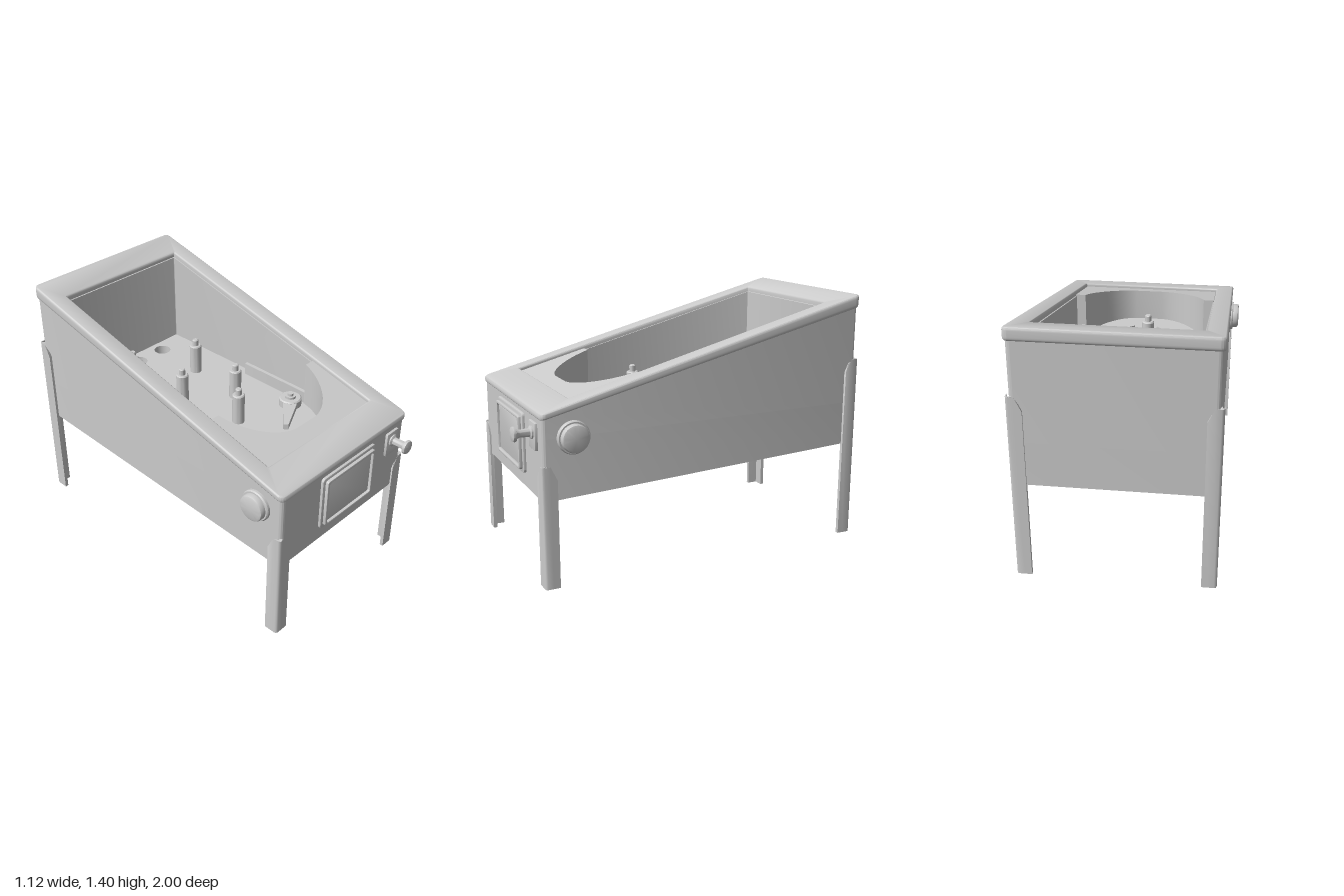
import * as THREE from 'three';
import { toCreasedNormals } from 'three/addons/utils/BufferGeometryUtils.js';

const material = new THREE.MeshStandardMaterial({ color: 0xcccccc });
const FLOOR = 0.79;

// Sloping planes of the cabinet, as heights along z
const topY = (x, z) => 0.92 + (0.885 - z) * 0.257;
const frameBottomY = (x, z) => 0.885 + (0.885 - z) * 0.238;
const bottomY = (x, z) => 0.465 + (0.88 - z) * 0.0455;
const level = (y) => () => y;

function add(parent, name, geometry, crease = 0.6) {
  const mesh = new THREE.Mesh(toCreasedNormals(geometry, crease), material);
  mesh.name = name;
  parent.add(mesh);
  return mesh;
}

// Rounded rectangle; also used for holes
function rect(x0, x1, y0, y1, r) {
  const s = new THREE.Shape();
  s.moveTo(x0 + r, y0);
  s.lineTo(x1 - r, y0);
  s.absarc(x1 - r, y0 + r, r, -Math.PI / 2, 0);
  s.lineTo(x1, y1 - r);
  s.absarc(x1 - r, y1 - r, r, 0, Math.PI / 2);
  s.lineTo(x0 + r, y1);
  s.absarc(x0 + r, y1 - r, r, Math.PI / 2, Math.PI);
  s.lineTo(x0, y0 + r);
  s.absarc(x0 + r, y0 + r, r, Math.PI, Math.PI * 1.5);
  return s;
}

// Rectangle in plan, given as x and z ranges (shape y is -z)
const plan = (x0, x1, z0, z1, r) => rect(x0, x1, -z1, -z0, r);

// Extrudes a plan shape between two height functions
function slab(shape, low, high, bevel = 0) {
  const t = bevel ? 0.28 : 0;
  const g = new THREE.ExtrudeGeometry(shape, {
    depth: 1 - 2 * t, curveSegments: 10, bevelEnabled: bevel > 0,
    bevelThickness: t, bevelSize: bevel, bevelOffset: -bevel, bevelSegments: 4,
  });
  g.translate(0, 0, t).rotateX(-Math.PI / 2);
  const p = g.attributes.position;
  for (let i = 0; i < p.count; i++) {
    const x = p.getX(i), z = p.getZ(i);
    p.setY(i, THREE.MathUtils.lerp(low(x, z), high(x, z), p.getY(i)));
  }
  return g;
}

// Upright plate facing +z with softened edges
function plate(shape, z0, z1, bevel = 0.005) {
  const g = new THREE.ExtrudeGeometry(shape, {
    depth: z1 - z0 - 2 * bevel, curveSegments: 6,
    bevelThickness: bevel, bevelSize: bevel, bevelOffset: -bevel, bevelSegments: 2,
  });
  return g.translate(0, 0, z0 + bevel);
}

const lathe = (points, sides = 32) =>
  new THREE.LatheGeometry(points.map(([r, y]) => new THREE.Vector2(r, y)), sides);

function addCabinet(model) {
  // Solid lower body with drain holes
  const base = plan(-0.505, 0.505, -0.99, 0.878, 0.025);
  for (const x of [-0.205, 0.01, 0.205]) {
    base.holes.push(new THREE.Path().absarc(x, 0.74, 0.05, 0, Math.PI * 2));
  }
  add(model, 'lowerBody', slab(base, bottomY, level(FLOOR)));

  // Walls, rising just inside the top frame
  const walls = plan(-0.505, 0.505, -0.99, 0.878, 0.025);
  walls.holes.push(plan(-0.405, 0.405, -0.822, 0.7, 0.004));
  add(model, 'walls', slab(walls, level(FLOOR), (x, z) => topY(x, z) - 0.03));

  const frame = plan(-0.517, 0.517, -1, 0.885, 0.032);
  frame.holes.push(plan(-0.413, 0.413, -0.828, 0.702, 0.003));
  add(model, 'topFrame', slab(frame, frameBottomY, topY, 0.01));
}

function addLegs(model) {
  const t = 0.02, w = 0.08, k = 0.045;
  // L section measured inward from the outer corner
  const section = [[0.014, 0], [k, 0], [w, 0], [w, t], [k, t], [t, t], [t, k], [t, w],
    [0, w], [0, k], [0, 0.014], [0.004, 0.004]];
  for (const [end, cornerZ, dir, height] of [['front', 0.887, 1, 0.65], ['back', -1, -1, 1.04]]) {
    for (const side of [1, -1]) {
      const shape = new THREE.Shape(section.map(([a, b]) =>
        new THREE.Vector2(side * (0.52 - a), -(cornerZ - dir * b))));
      const top = (x, z) => {
        const d = Math.max(0.52 - Math.abs(x), Math.abs(z - cornerZ));
        return height - Math.max(0, d - k) * 2.1;
      };
      add(model, end + (side > 0 ? 'LeftLeg' : 'RightLeg'), slab(shape, level(0), top), 0.9);
    }
  }
}

function addPlayfield(model) {
  // Apron with a curved cut-out, parallel to the frame
  const apron = new THREE.Shape();
  apron.moveTo(-0.41, -0.7);
  apron.lineTo(0.41, -0.7);
  apron.lineTo(0.41, -0.3);
  apron.lineTo(0.352, -0.3);
  apron.bezierCurveTo(0.33, -0.44, 0.21, -0.585, 0.08, -0.597);
  apron.lineTo(-0.08, -0.597);
  apron.bezierCurveTo(-0.21, -0.585, -0.33, -0.44, -0.352, -0.3);
  apron.lineTo(-0.41, -0.3);
  add(model, 'apron', slab(apron, level(FLOOR), (x, z) => topY(x, z) - 0.02));

  // Posts with a pin on top
  const post = [[0, 0], [0.035, 0], [0.035, 0.172], [0.03, 0.178], [0.018, 0.178],
    [0.018, 0.21], [0.014, 0.215], [0, 0.215]];
  for (const [x, z] of [[-0.18, -0.57], [0.178, -0.41], [-0.11, -0.225], [0.135, -0.04], [-0.04, 0.15]]) {
    add(model, 'post', lathe(post, 20)).position.set(x, FLOOR, z);
  }

  // Flippers: hub, pin and tapered bat
  const hub = [[0, 0], [0.065, 0], [0.065, 0.04], [0.058, 0.047], [0.032, 0.047],
    [0.032, 0.06], [0.018, 0.06], [0.018, 0.075], [0, 0.075]];
  for (const side of [1, -1]) {
    const flipper = new THREE.Group();
    flipper.name = side > 0 ? 'leftFlipper' : 'rightFlipper';
    add(flipper, 'hub', lathe(hub)).position.set(side * 0.295, FLOOR, 0.245);
    const bat = new THREE.Shape([[0.325, 0.285], [0.255, 0.225], [0.067, 0.39], [0.085, 0.412]]
      .map(([x, z]) => new THREE.Vector2(side * x, -z)));
    add(flipper, 'bat', slab(bat, level(FLOOR + 0.005), level(FLOOR + 0.038)));
    model.add(flipper);
  }

  // Ball lane divider
  add(model, 'laneRail', slab(plan(0.357, 0.379, -0.17, 0.305, 0.003), level(FLOOR), level(0.86)));
}

function addControls(model) {
  // Coin door: backing, raised rim and inner panel
  const door = new THREE.Group();
  door.name = 'coinDoor';
  add(door, 'backing', plate(rect(-0.207, 0.233, 0.54, 0.865, 0.02), 0.865, 0.893));
  const rim = rect(-0.188, 0.212, 0.557, 0.848, 0.016);
  rim.holes.push(rect(-0.172, 0.196, 0.573, 0.832, 0.012));
  add(door, 'rim', plate(rim, 0.885, 0.91, 0.004));
  add(door, 'panel', plate(rect(-0.166, 0.19, 0.579, 0.826, 0.008), 0.885, 0.9, 0.004));
  model.add(door);

  // Plunger
  const plunger = new THREE.Group();
  plunger.name = 'plunger';
  add(plunger, 'plungerPlate', plate(rect(0.341, 0.439, 0.718, 0.86, 0.004), 0.865, 0.893, 0.003));
  const rod = [[0, 0], [0.034, 0], [0.034, 0.012], [0.022, 0.018], [0.02, 0.07], [0.026, 0.086],
    [0.038, 0.09], [0.04, 0.096], [0.038, 0.106], [0.025, 0.11], [0, 0.112]];
  add(plunger, 'plungerRod', lathe(rod).rotateX(Math.PI / 2)).position.set(0.39, 0.805, 0.888);
  model.add(plunger);

  // Side buttons
  const button = [[0, 0], [0.087, 0], [0.087, 0.018], [0.082, 0.025], [0.074, 0.025],
    [0.074, 0.045], [0.07, 0.054], [0.06, 0.058], [0, 0.06]];
  for (const side of [1, -1]) {
    add(model, side > 0 ? 'leftButton' : 'rightButton',
      lathe(button, 40).rotateZ(-side * Math.PI / 2)).position.set(side * 0.5, 0.787, 0.715);
  }
}

export function createModel() {
  const model = new THREE.Group();
  model.name = 'pinballTable';
  addCabinet(model);
  addLegs(model);
  addPlayfield(model);
  addControls(model);
  return model;
}
